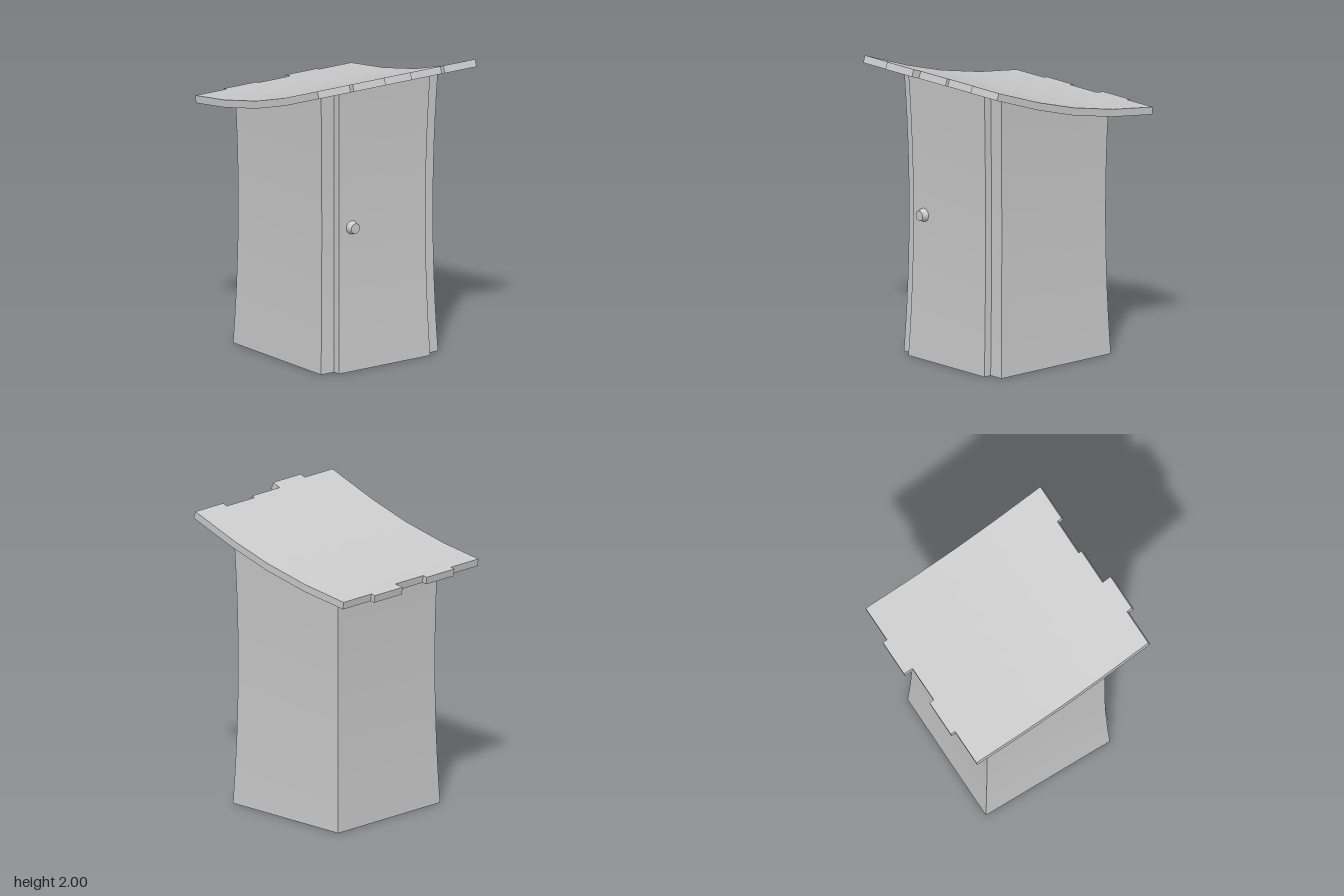
import * as THREE from 'three';
import { toCreasedNormals } from 'three/addons/utils/BufferGeometryUtils.js';

const material = new THREE.MeshStandardMaterial({ color: 0xcccccc });
const shellMaterial = new THREE.MeshStandardMaterial({ color: 0xcccccc, side: THREE.DoubleSide });

// Sagging roof line: [z, y] of the upper surface from back to front
const ROOF = [[-0.72, 1.65], [-0.34, 1.7], [0, 1.77], [0.3, 1.857], [0.704, 2.0]];
const THICKNESS = 0.05;

// Height and slope of the roof's upper surface at z
function roofAt(z) {
  let i = 0;
  while (i < ROOF.length - 2 && z > ROOF[i + 1][0]) i++;
  const [z0, y0] = ROOF[i], [z1, y1] = ROOF[i + 1];
  const slope = (y1 - y0) / (z1 - z0);
  return { y: y0 + (z - z0) * slope, slope };
}

// One roof board: the curve thickened at right angles and extruded along x
function roofBoard(back, front, width) {
  const top = [back, ...ROOF.slice(1, -1).map((p) => p[0]), front].map((z) => {
    const { y, slope } = roofAt(z);
    return { z, y, slope };
  });
  const under = top.map(({ z, y, slope }) => {
    const k = THICKNESS / Math.hypot(1, slope);
    return [z + slope * k, y - k];
  });
  const outline = [...top.map((p) => [p.z, p.y]), ...under.reverse()];
  const shape = new THREE.Shape(outline.map(([z, y]) => new THREE.Vector2(-z, y)));
  const geometry = new THREE.ExtrudeGeometry(shape, { depth: width, bevelEnabled: false });
  geometry.rotateY(Math.PI / 2); // shape x becomes -z, depth becomes +x
  return toCreasedNormals(geometry, 0.5);
}

// Open shell: plan outline with a proud door panel, pinched at mid height
function bodyGeometry() {
  const plan = [
    [-0.475, -0.475], [0.475, -0.475], [0.475, 0], [0.475, 0.48], [0.37, 0.48], [0.37, 0.535],
    [-0.37, 0.535], [-0.37, 0.48], [-0.475, 0.48], [-0.475, 0],
  ];
  const rows = 12;
  const point = ([x, z], row) => {
    const y = (row / rows) * (roofAt(z).y - THICKNESS + 0.005);
    const s = 0.95 + 0.05 * ((y - 0.95) / 0.95) ** 2;
    return [x * s, y, z * s];
  };
  const positions = [];
  plan.forEach((p, i) => {
    const q = plan[(i + 1) % plan.length];
    for (let r = 0; r < rows; r++) {
      const a = point(p, r), b = point(q, r), c = point(q, r + 1), d = point(p, r + 1);
      positions.push(...a, ...c, ...b, ...a, ...d, ...c);
    }
  });
  const geometry = new THREE.BufferGeometry();
  geometry.setAttribute('position', new THREE.Float32BufferAttribute(positions, 3));
  return toCreasedNormals(geometry, 0.5);
}

export function createModel() {
  const model = new THREE.Group();
  model.name = 'shed';

  // Walls and door panel
  const body = new THREE.Mesh(bodyGeometry(), shellMaterial);
  body.name = 'wallsAndDoor';
  model.add(body);

  // Tapered door knob
  const knobGeometry = new THREE.CylinderGeometry(0.034, 0.045, 0.045, 24);
  knobGeometry.rotateX(Math.PI / 2);
  const knob = new THREE.Mesh(knobGeometry, material);
  knob.name = 'doorKnob';
  knob.position.set(-0.247, 0.965, 0.528);
  model.add(knob);

  // Five roof boards with uneven ends: [back z, front z]
  const roof = new THREE.Group();
  roof.name = 'roof';
  const width = 0.258;
  [[-0.657, 0.667], [-0.69, 0.704], [-0.657, 0.643], [-0.722, 0.622], [-0.69, 0.655]].forEach(([back, front], i) => {
    const board = new THREE.Mesh(roofBoard(back, front, width), material);
    board.name = `roofBoard${i + 1}`;
    board.position.x = (i - 2.5) * width;
    roof.add(board);
  });
  model.add(roof);

  return model;
}
